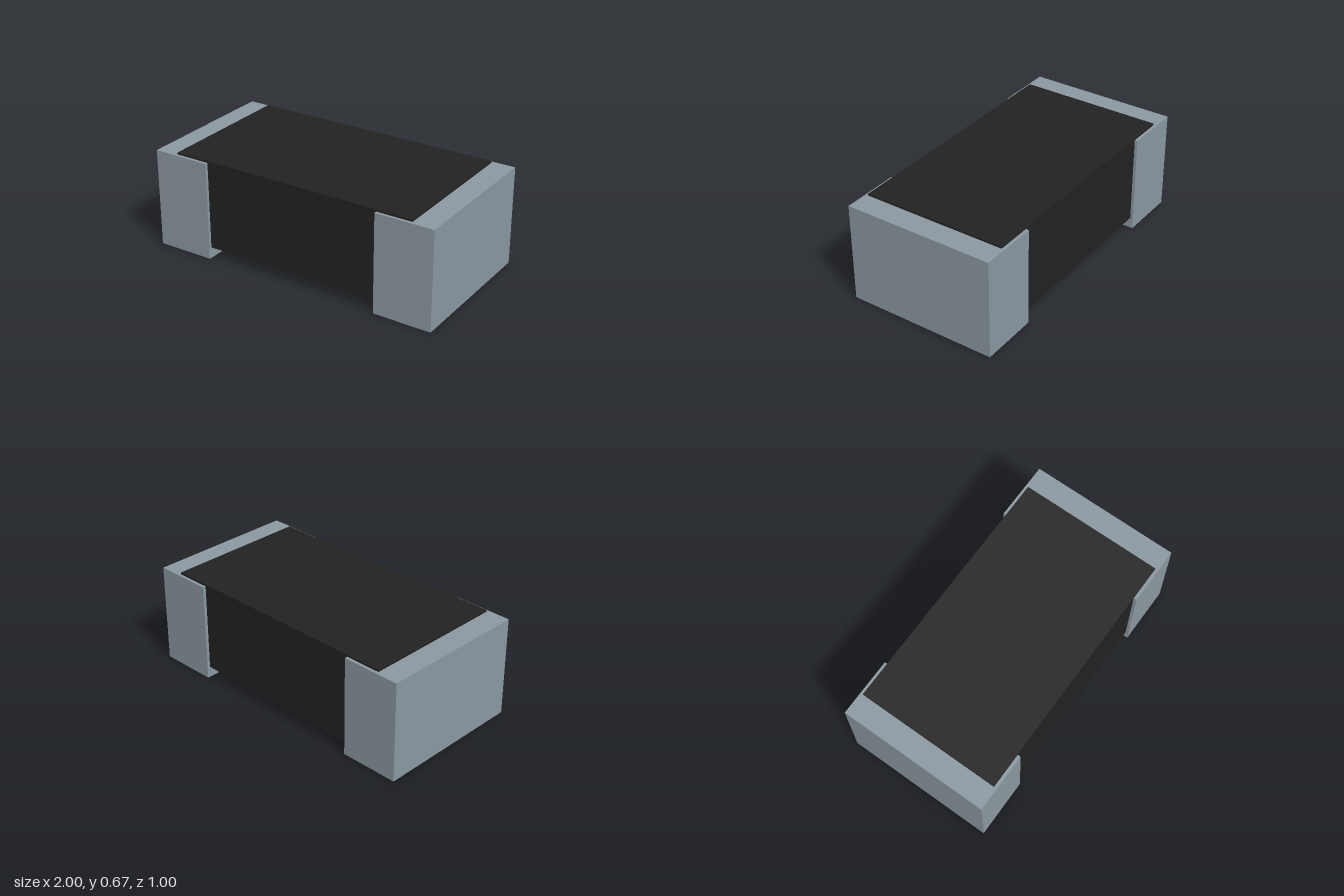
import * as THREE from 'three';

export function createModel() {
  const model = new THREE.Group();
  model.name = 'chipComponent';

  const metal = new THREE.MeshStandardMaterial({ color: 0x8a98a0 });
  metal.name = 'grey metal';
  const black = new THREE.MeshStandardMaterial({ color: 0x222222 });
  black.name = 'black body';

  // Box resting with its underside at height y
  function addBox(name, material, w, h, d, x, y) {
    const mesh = new THREE.Mesh(new THREE.BoxGeometry(w, h, d), material);
    mesh.name = name;
    mesh.position.set(x, y + h / 2, 0);
    model.add(mesh);
  }

  // Body, raised off the ground and slightly proud of the terminals on top
  addBox('body', black, 1.696, 0.6, 0.964, 0, 0.074);

  // Terminal blocks wrapping both ends
  for (const [name, side] of [['leftTerminal', 1], ['rightTerminal', -1]]) {
    addBox(name, metal, 0.39, 0.662, 1.004, side * 0.805, 0);
  }

  return model;
}
